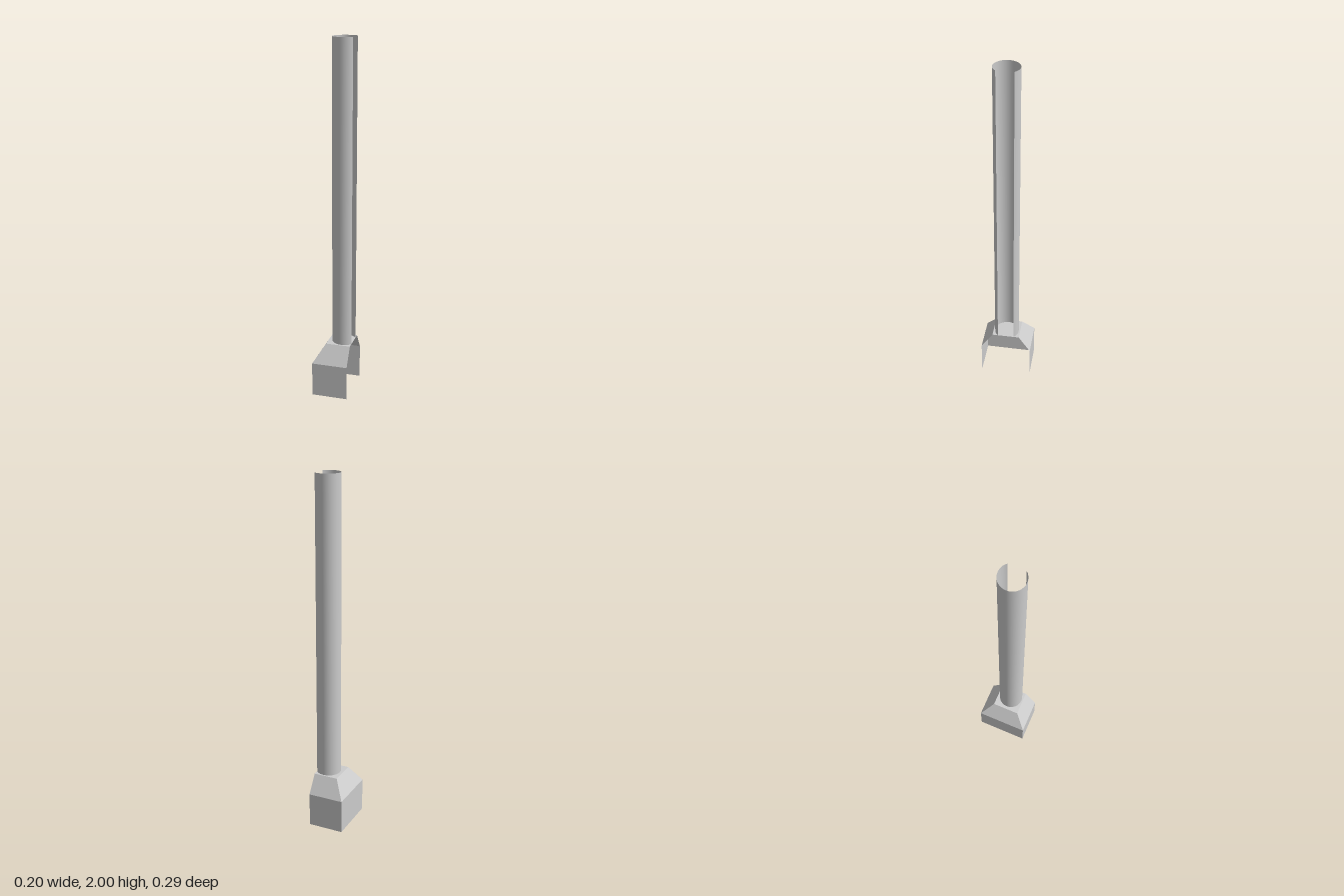
import * as THREE from 'three';

const material = new THREE.MeshStandardMaterial({ color: 0xcccccc, side: THREE.DoubleSide });

// Three-sided loop of corners, open towards +x
const section = (y, left, halfDepth) => [
  [0.101, y, halfDepth], [left, y, halfDepth],
  [left, y, -halfDepth], [0.101, y, -halfDepth],
];

// Thin hood: upright walls, sloped shoulders and a flat cap, open below and at +x
function hoodGeometry() {
  const rings = [
    section(0, -0.101, 0.1455),
    section(0.195, -0.101, 0.1455),
    section(0.296, -0.039, 0.0785),
  ];
  const points = [];
  const quad = (a, b, c, d) => points.push(...a, ...b, ...c, ...a, ...c, ...d);
  for (let r = 0; r < 2; r++) {
    const low = rings[r], high = rings[r + 1];
    for (let i = 0; i < 3; i++) quad(low[i + 1], low[i], high[i], high[i + 1]);
  }
  const [p, q, s, t] = rings[2];
  quad(p, t, s, q);
  const geometry = new THREE.BufferGeometry();
  geometry.setAttribute('position', new THREE.Float32BufferAttribute(points, 3));
  geometry.computeVertexNormals();
  return geometry;
}

export function createModel() {
  const group = new THREE.Group();
  group.name = 'openFlue';

  const hood = new THREE.Mesh(hoodGeometry(), material);
  hood.name = 'hood';
  group.add(hood);

  // Thin pipe with a lengthwise slot centred on +x
  const bottom = 0.296, top = 2, radius = 0.07;
  const slot = THREE.MathUtils.degToRad(41); // half angle of the slot
  const pipe = new THREE.Mesh(
    new THREE.CylinderGeometry(radius, radius, top - bottom, 28, 1, true,
      Math.PI / 2 + slot, 2 * (Math.PI - slot)),
    material);
  pipe.name = 'pipe';
  pipe.position.set(0.101 - radius * Math.cos(slot), (top + bottom) / 2, 0);
  group.add(pipe);

  return group;
}
